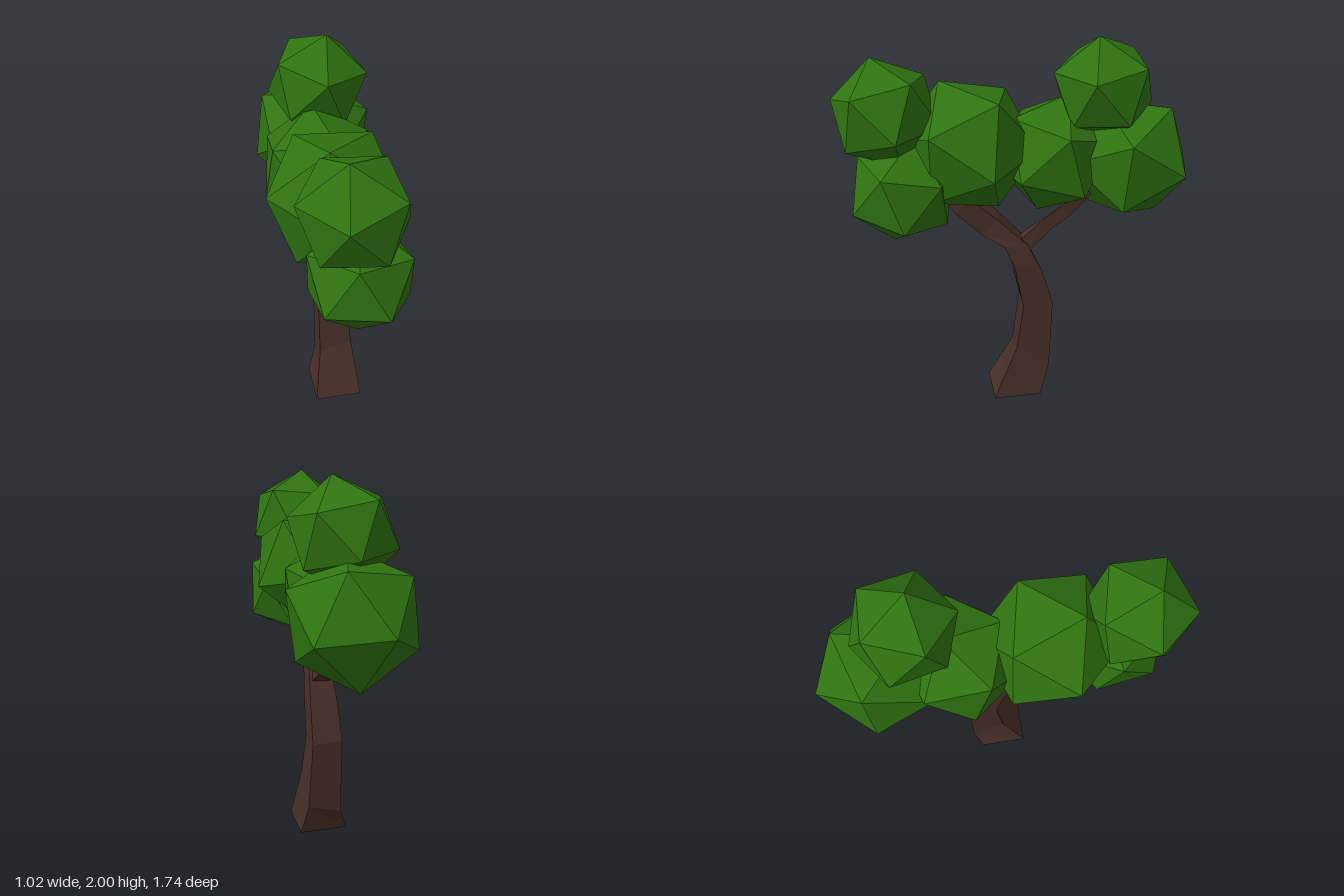
import * as THREE from 'three';

const bark = new THREE.MeshStandardMaterial({ color: 0x48312a, flatShading: true });
bark.name = 'bark';
const leaf = new THREE.MeshStandardMaterial({ color: 0x2f7510, flatShading: true });
leaf.name = 'leaf';
bark.color.set(0x472f26);

// Four-sided limb through rings [x, y, z, radius, slope of the ring along z]
function limb(name, rings) {
  const corners = rings.map(([x, y, z, r, s]) => [0, 1, 2, 3].map((k) => {
    const a = -0.45 + k * Math.PI / 2;
    const dz = r * Math.sin(a);
    return [x + r * Math.cos(a), y + s * dz, z + dz];
  }));
  const pos = [];
  const quad = (a, b, c, d) => pos.push(...a, ...b, ...c, ...a, ...c, ...d);
  for (let i = 0; i < corners.length - 1; i++) {
    const lo = corners[i], hi = corners[i + 1];
    for (let k = 0; k < 4; k++) {
      const n = (k + 1) % 4;
      quad(lo[k], hi[k], hi[n], lo[n]);
    }
  }
  const first = corners[0], last = corners[corners.length - 1];
  quad(first[0], first[1], first[2], first[3]);
  quad(last[3], last[2], last[1], last[0]);
  const geo = new THREE.BufferGeometry();
  geo.setAttribute('position', new THREE.Float32BufferAttribute(pos, 3));
  geo.computeVertexNormals();
  const mesh = new THREE.Mesh(geo, bark);
  mesh.name = name;
  return mesh;
}

// Right-angled frame from one direction and a hint direction
function frame(a, b) {
  const u = new THREE.Vector3(...a).normalize();
  const w = new THREE.Vector3(...b).cross(u).normalize();
  return new THREE.Matrix4().makeBasis(u, w, u.clone().cross(w));
}

// Icosahedron leaf clump, turned so two neighbouring corners point along a and b
function clump(name, center, radius, a, b) {
  const t = (1 + Math.sqrt(5)) / 2;
  const turn = frame(a, b).multiply(frame([1, t, 0], [-1, t, 0]).transpose());
  const mesh = new THREE.Mesh(new THREE.IcosahedronGeometry(radius, 0).applyMatrix4(turn), leaf);
  mesh.name = name;
  mesh.position.set(...center);
  return mesh;
}

export function createModel() {
  const tree = new THREE.Group();
  tree.name = 'tree';

  // Trunk bends and carries on into the front branch
  tree.add(limb('trunkAndFrontBranch', [
    [0, 0, 0.055, 0.183, 0],
    [0.037, 0.22, -0.03, 0.128, 0.7],
    [0.037, 0.555, -0.062, 0.114, -0.1],
    [0.022, 0.76, -0.013, 0.108, 0.3],
    [0, 0.91, 0.05, 0.09, 0],
    [-0.05, 1.03, 0.175, 0.06, -1],
    [-0.09, 1.16, 0.31, 0.055, -1],
    [-0.13, 1.3, 0.42, 0.04, -1],
  ]));
  tree.add(limb('backBranch', [
    [0.01, 0.88, 0.03, 0.07, 0.2],
    [0.055, 1.0, -0.12, 0.034, 1.2],
    [0.085, 1.06, -0.2, 0.034, 1.2],
    [0.13, 1.16, -0.29, 0.032, 1],
    [0.17, 1.3, -0.4, 0.025, 1],
  ]));

  // Leaf clumps from front to back
  tree.add(
    clump('upperFrontLeaves', [-0.256, 1.638, 0.635], 0.282, [-0.054, 0.272, 0.045], [-0.274, 0.08, -0.055]),
    clump('lowerFrontLeaves', [-0.19, 1.24, 0.59], 0.285, [-0.035, -0.28, 0.048], [0, -0.08, 0.275]),
    clump('middleFrontLeaves', [-0.12, 1.45, 0.245], 0.361, [-0.094, 0.328, 0.118], [0.237, 0.27, -0.05]),
    clump('middleBackLeaves', [0.022, 1.383, -0.17], 0.32, [0.278, 0.157, 0.064], [0.268, -0.166, -0.03]),
    clump('largeBackLeaves', [0.19, 1.357, -0.53], 0.345, [0.015, -0.008, -0.339], [0.332, -0.05, -0.13]),
    clump('upperBackLeaves', [0.148, 1.735, -0.386], 0.274, [0.029, 0.263, 0.051], [-0.242, 0.115, 0.006]),
  );
  return tree;
}
